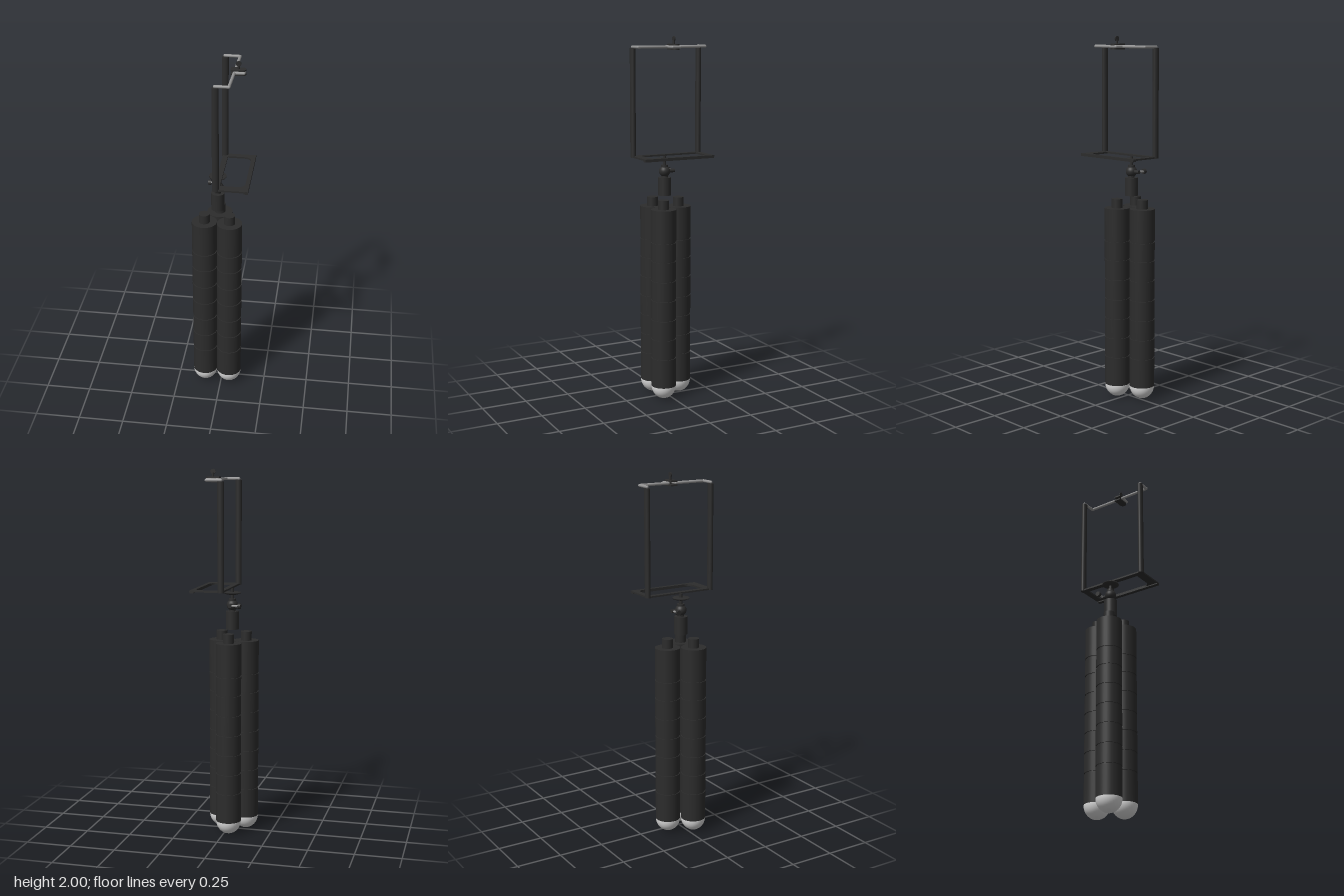
import * as THREE from 'three';

const mat = (name, color) => {
  const m = new THREE.MeshStandardMaterial({ color });
  m.name = name;
  return m;
};

export function createModel() {
  const black = mat('matte black', 0x2c2c2c);
  const steel = mat('grey steel', 0x929292);
  const rubber = mat('pale foot', 0xdadada);
  const model = new THREE.Group();

  const add = (parent, name, geometry, material, x = 0, y = 0, z = 0) => {
    const mesh = new THREE.Mesh(geometry, material);
    mesh.name = name;
    mesh.position.set(x, y, z);
    parent.add(mesh);
    return mesh;
  };
  // Upright cylinder between two heights
  const post = (parent, name, r, y0, y1, x, z, material = black, sides = 32) =>
    add(parent, name, new THREE.CylinderGeometry(r, r, y1 - y0, sides), material, x, (y0 + y1) / 2, z);
  // Straight rod between two points
  const rod = (parent, name, r, a, b, material) => {
    const p = new THREE.Vector3(...a), q = new THREE.Vector3(...b);
    const mesh = add(parent, name, new THREE.CylinderGeometry(r, r, p.distanceTo(q), 20), material);
    mesh.position.copy(p).add(q).multiplyScalar(0.5);
    mesh.quaternion.setFromUnitVectors(new THREE.Vector3(0, 1, 0), q.sub(p).normalize());
    return mesh;
  };

  // Three bundled legs: stacked sleeves with narrow grooves, top stub, round foot
  const seams = [0.075, 0.24, 0.35, 0.46, 0.57, 0.68, 0.79, 0.893, 1.072];
  for (const [x, z] of [[-0.093, 0.039], [0.045, 0.041], [-0.024, -0.085]]) {
    const leg = new THREE.Group();
    leg.name = 'leg';
    leg.position.set(x, 0, z);
    model.add(leg);
    post(leg, 'legCore', 0.064, 0.08, 1.065, 0, 0);
    for (let i = 0; i < seams.length - 1; i++) {
      const y0 = seams[i] + (i ? 0.004 : 0), y1 = seams[i + 1] - (i < 7 ? 0.004 : 0);
      post(leg, 'legSleeve', 0.069, y0, y1, 0, 0);
    }
    post(leg, 'legStub', 0.03, 1.07, 1.122, 0, 0);
    add(leg, 'foot', new THREE.SphereGeometry(0.069, 32, 16, 0, Math.PI * 2, Math.PI / 2, Math.PI / 2),
      rubber, 0, 0.075, 0).scale.y = 1.085;
  }

  // Ball head
  const head = new THREE.Group();
  head.name = 'ballHead';
  head.position.set(-0.024, 0, 0);
  model.add(head);
  post(head, 'headBase', 0.036, 1.137, 1.236, 0, 0);
  post(head, 'headNeck', 0.018, 1.234, 1.25, 0, 0);
  add(head, 'ball', new THREE.SphereGeometry(0.031, 28, 18), black, 0, 1.27, 0);
  post(head, 'ballCollar', 0.02, 1.285, 1.305, 0, 0);
  post(head, 'headStem', 0.009, 1.3, 1.362, 0, 0);
  const discPoints = [[0, 1.328], [0.03, 1.328], [0.046, 1.334], [0.046, 1.34], [0, 1.341]];
  add(head, 'mountDisc', new THREE.LatheGeometry(discPoints.map(p => new THREE.Vector2(...p)), 36), black);

  // Locking lever at the back of the ball
  rod(head, 'leverPivot', 0.01, [0, 1.27, -0.02], [0, 1.27, -0.06], black);
  rod(head, 'leverShaft', 0.006, [0.004, 1.27, -0.049], [-0.046, 1.27, -0.049], steel);
  rod(head, 'leverKnob', 0.014, [-0.042, 1.27, -0.047], [-0.058, 1.27, -0.047], black);

  // Open tray frame with rounded outer corners in the opening
  const tray = new THREE.Shape();
  tray.moveTo(-0.021, -0.205).lineTo(0.16, -0.205).lineTo(0.16, 0.207).lineTo(-0.021, 0.207).closePath();
  const hole = new THREE.Path();
  hole.moveTo(0.008, -0.157).lineTo(0.008, 0.175).lineTo(0.1, 0.175);
  hole.quadraticCurveTo(0.132, 0.172, 0.138, 0.145).lineTo(0.138, -0.127);
  hole.quadraticCurveTo(0.132, -0.154, 0.1, -0.157).closePath();
  tray.holes.push(hole);
  const trayGeo = new THREE.ExtrudeGeometry(tray, { depth: 0.009, bevelEnabled: false, curveSegments: 8 });
  trayGeo.rotateX(-Math.PI / 2);
  add(model, 'trayFrame', trayGeo, black, 0, 1.358, 0);
  add(model, 'trayLip', new THREE.BoxGeometry(0.022, 0.014, 0.41), black, 0.149, 1.359, 0.001);

  // Two tall uprights
  for (const z of [-0.198, 0.196]) {
    post(model, 'upright', 0.018, 1.358, 1.938, -0.01, z).scale.z = 0.8;
  }

  // Bent top bar with a small forward loop in the middle
  const bends = [[-0.012, -0.198], [0.068, -0.196], [0.065, -0.023], [0.112, -0.023],
    [0.112, 0.02], [0.063, 0.023], [0.058, 0.195], [-0.012, 0.196]];
  const bar = new THREE.Group();
  bar.name = 'topBar';
  model.add(bar);
  bends.forEach(([x, z], i) => {
    add(bar, 'barBend', new THREE.SphereGeometry(0.008, 16, 12), steel, x, 1.944, z);
    if (i) {
      const [px, pz] = bends[i - 1];
      rod(bar, 'barRun', 0.008, [px, 1.944, pz], [x, 1.944, z], steel);
    }
  });

  // Clamp plates on the loop, round at the outer end
  const plate = new THREE.Shape();
  plate.moveTo(0.044, -0.02).lineTo(0.102, -0.02);
  plate.absarc(0.102, 0, 0.02, -Math.PI / 2, Math.PI / 2, false);
  plate.lineTo(0.044, 0.02).closePath();
  const plateGeo = new THREE.ExtrudeGeometry(plate, { depth: 0.008, bevelEnabled: false, curveSegments: 16 });
  plateGeo.rotateX(-Math.PI / 2);
  for (const y of [1.929, 1.951]) add(model, 'clampPlate', plateGeo, black, 0, y, 0);

  // Wing screw
  post(model, 'clampScrew', 0.006, 1.93, 1.98, 0.083, 0, black, 16);
  const wing = add(model, 'screwWing', new THREE.CylinderGeometry(0.014, 0.014, 0.006, 24), black, 0.083, 1.986, 0);
  wing.rotation.x = Math.PI / 2;

  return model;
}
